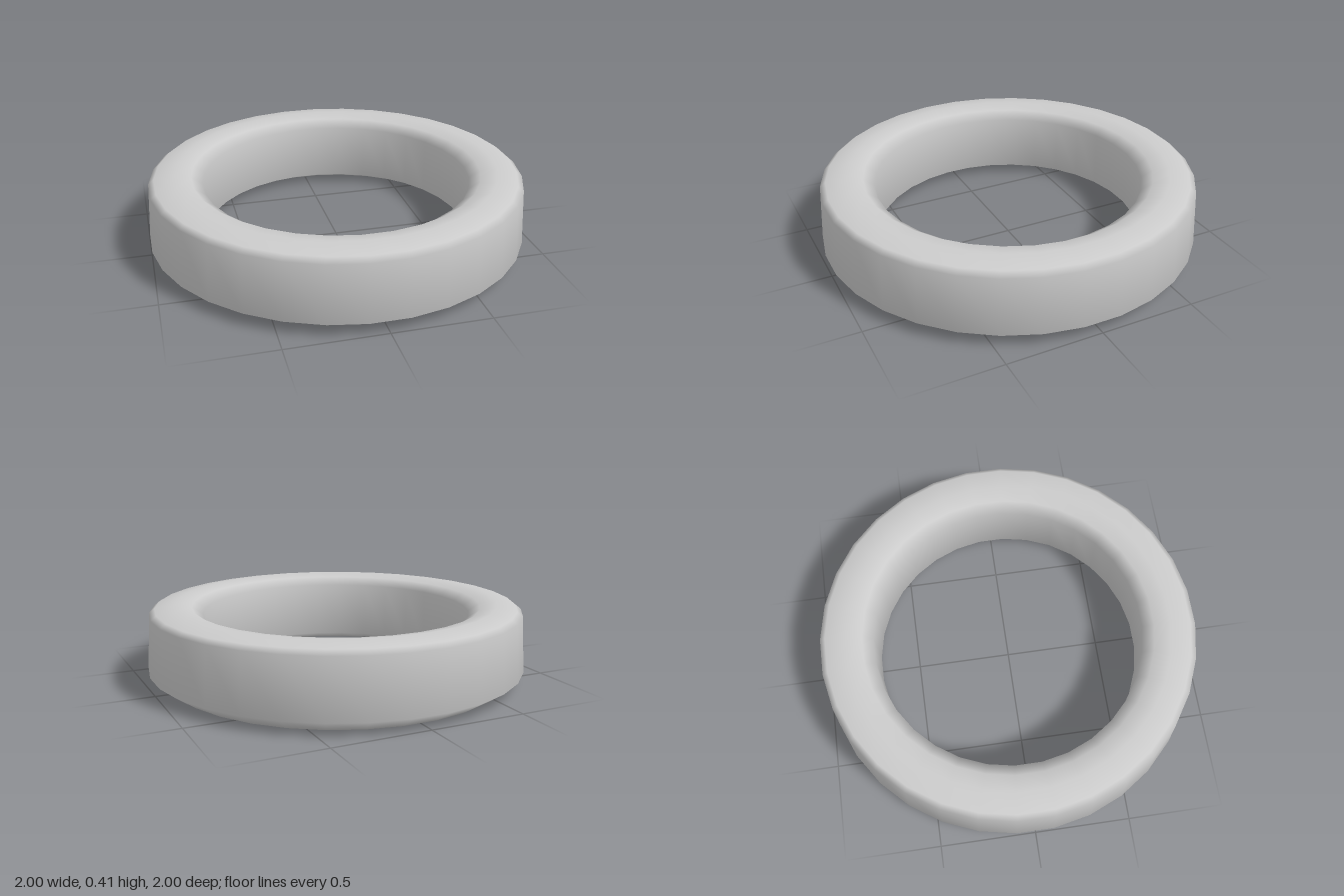
import * as THREE from 'three';
import { mergeVertices } from 'three/addons/utils/BufferGeometryUtils.js';

const SIDES = 32;

export function createModel() {
  const group = new THREE.Group();
  group.name = 'ringModel';

  // Closed cross-section [radius, height]: bottom, outer wall, top, inner wall
  const section = [
    [0.80, 0], [0.905, 0], [1.004, 0.067], [0.987, 0.365], [0.958, 0.388],
    [0.85, 0.407], [0.765, 0.39], [0.708, 0.35], [0.708, 0.045], [0.80, 0],
  ].map(([r, y]) => new THREE.Vector2(r, y));

  // Half-step turn puts flat sides on the axes
  let geometry = new THREE.LatheGeometry(section, SIDES, Math.PI / SIDES);

  // Weld the seams so the shading is smooth all round
  geometry.deleteAttribute('uv');
  geometry.deleteAttribute('normal');
  geometry = mergeVertices(geometry, 1e-4);
  geometry.computeVertexNormals();

  const ring = new THREE.Mesh(geometry, new THREE.MeshStandardMaterial({ color: 0xcccccc }));
  ring.name = 'ring';
  group.add(ring);
  return group;
}
